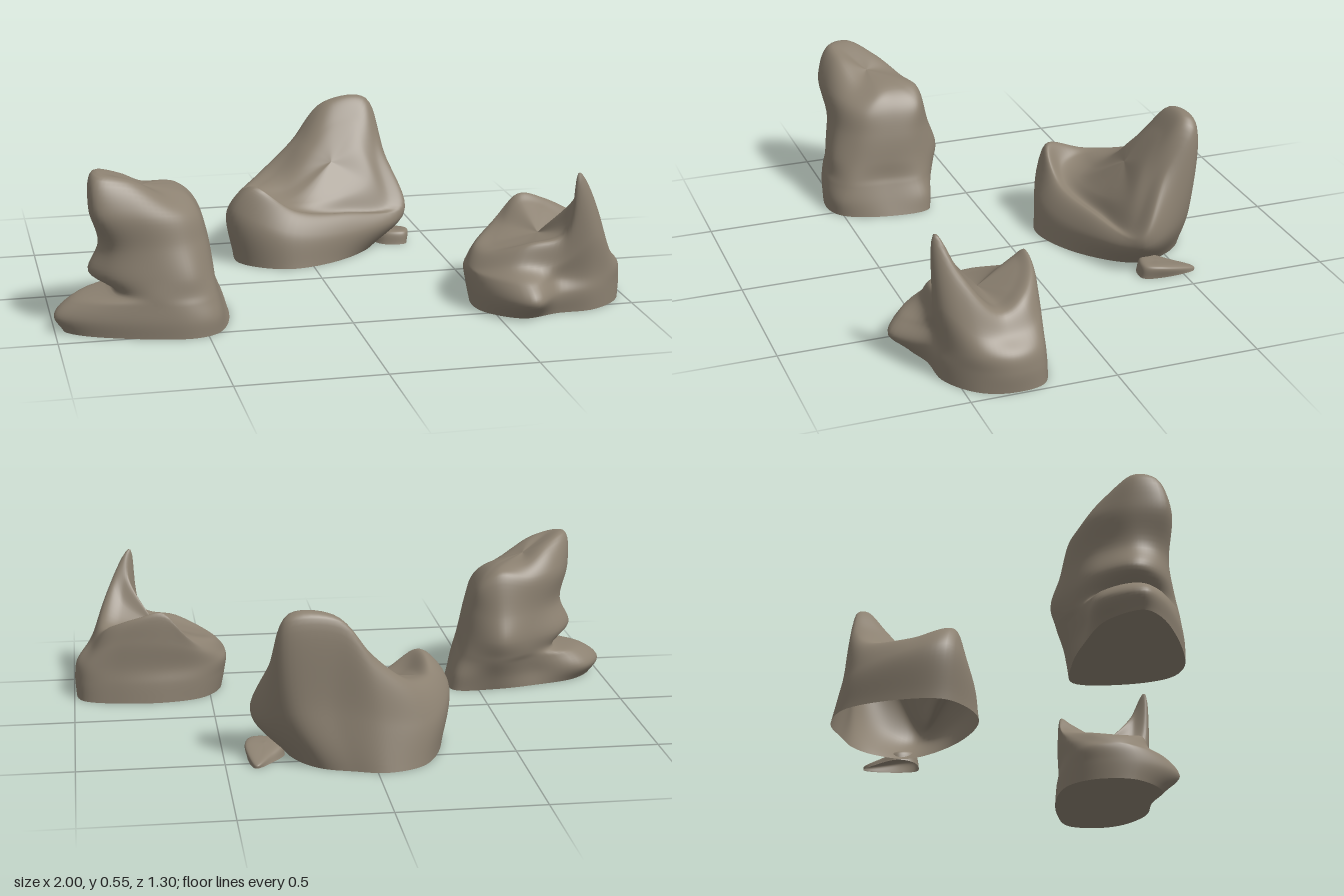
import * as THREE from 'three';

const stone = new THREE.MeshStandardMaterial({ color: 0x8c8171, side: THREE.DoubleSide });
stone.name = 'stone';

const AROUND = 80, UP = 56;
const points = (loop) => loop.map((p) => new THREE.Vector3(...p));
const level = (y, loop) => loop.map(([x, z]) => [x, y, z]);

// Smooth skin through closed loops, listed from the ground up to the rim and in to a centre point
function loft(loops, centre, closedBottom) {
  const rings = loops.map((l) => new THREE.CatmullRomCurve3(points(l), true, 'centripetal'));
  const pos = [], index = [];
  const columns = [];
  for (let j = 0; j < AROUND; j++) {
    const path = rings.map((r) => r.getPoint(j / AROUND));
    path.push(new THREE.Vector3(...centre));
    columns.push(new THREE.CatmullRomCurve3(path, false, 'centripetal'));
  }
  for (let i = 0; i <= UP; i++) {
    for (const c of columns) {
      const p = c.getPoint(i / UP);
      pos.push(p.x, i === 0 ? 0 : Math.max(0, p.y), p.z);
    }
  }
  for (let i = 0; i < UP; i++) {
    for (let j = 0; j < AROUND; j++) {
      const k = (j + 1) % AROUND;
      const a = i * AROUND + j, b = i * AROUND + k;
      const c = a + AROUND, d = b + AROUND;
      index.push(a, b, d);
      if (i < UP - 1) index.push(a, d, c);
    }
  }
  // Flat underside with its own corners, so the ground edge stays sharp
  if (closedBottom) {
    const start = pos.length / 3;
    pos.push(...pos.slice(0, AROUND * 3), centre[0], 0, centre[2]);
    for (let j = 0; j < AROUND; j++) {
      index.push(start + AROUND, start + (j + 1) % AROUND, start + j);
    }
  }
  const g = new THREE.BufferGeometry();
  g.setAttribute('position', new THREE.Float32BufferAttribute(pos, 3));
  g.setIndex(index);
  g.computeVertexNormals();
  return g;
}

function mesh(name, geometry) {
  const m = new THREE.Mesh(geometry, stone);
  m.name = name;
  return m;
}

// Blocky upright rock with a low rounded foot and an overhanging corner
function uprightRock() {
  const base = level(0, [[-.4, .34], [-.41, .18], [-.56, .17], [-.72, .2], [-.89, .26],
    [-.97, .37], [-.92, .43], [-.69, .52], [-.54, .54], [-.46, .5]]);
  const foot = level(.055, [[-.42, .34], [-.42, .18], [-.56, .15], [-.72, .2], [-.92, .235],
    [-1, .37], [-.94, .43], [-.7, .52], [-.54, .54], [-.46, .5]]);
  const ledge = level(.11, [[-.44, .34], [-.44, .19], [-.56, .125], [-.7, .18], [-.88, .25],
    [-.94, .36], [-.89, .43], [-.69, .515], [-.55, .53], [-.465, .48]]);
  const neck = level(.14, [[-.45, .34], [-.45, .19], [-.565, .115], [-.7, .17], [-.79, .24],
    [-.8, .36], [-.78, .45], [-.69, .51], [-.55, .52], [-.47, .47]]);
  const belly = level(.2, [[-.455, .34], [-.46, .2], [-.57, .1], [-.7, .16], [-.82, .24],
    [-.88, .36], [-.82, .45], [-.69, .5], [-.55, .51], [-.48, .45]]);
  const waist = level(.3, [[-.47, .32], [-.475, .2], [-.57, .13], [-.7, .175], [-.79, .25],
    [-.845, .36], [-.81, .45], [-.7, .485], [-.57, .48], [-.495, .42]]);
  const shoulder = [[-.5, .395, .3], [-.5, .395, .19], [-.57, .44, .17], [-.69, .42, .18], [-.8, .43, .24],
    [-.87, .43, .35], [-.86, .43, .47], [-.72, .42, .485], [-.58, .4, .45], [-.51, .385, .39]];
  const top = [[-.55, .45, .28], [-.55, .45, .23], [-.58, .46, .21], [-.68, .465, .22], [-.77, .515, .28],
    [-.855, .55, .36], [-.845, .545, .43], [-.74, .52, .43], [-.61, .45, .39], [-.55, .445, .33]];
  return mesh('uprightRock',
    loft([base, foot, ledge, neck, belly, waist, shoulder, top], [-.69, .485, .33], true));
}

// Rock with a tall back, a sloping front panel and a low front lip, open underneath
function hollowRock() {
  const base = level(0, [[.28, -.38], [.25, -.5], [.18, -.58], [.08, -.62], [-.03, -.65],
    [-.16, -.6], [-.25, -.42], [-.26, -.24], [-.1, -.13], [.12, -.2]]);
  const wall = [[.39, .11, -.35], [.365, .15, -.47], [.28, .2, -.58], [.13, .2, -.59], [-.03, .16, -.615],
    [-.18, .14, -.56], [-.28, .17, -.38], [-.285, .2, -.23], [-.1, .13, -.15], [.15, .1, -.21]];
  const rim = [[.39, .15, -.34], [.335, .35, -.455], [.3, .515, -.58], [.12, .51, -.58], [0, .37, -.575],
    [-.13, .27, -.52], [-.22, .25, -.37], [-.2, .295, -.22], [-.06, .2, -.2], [.15, .165, -.25]];
  const shelf = [[.32, .17, -.335], [.3, .34, -.425], [.28, .535, -.54], [.14, .525, -.54], [.02, .385, -.51],
    [-.08, .28, -.45], [-.17, .245, -.36], [-.15, .225, -.26], [-.05, .19, -.24], [.14, .16, -.28]];
  const panel = [[.25, .25, -.35], [.245, .36, -.41], [.23, .46, -.475], [.14, .45, -.475], [.05, .37, -.44],
    [-.02, .29, -.4], [-.07, .24, -.35], [-.06, .215, -.295], [0, .21, -.285], [.14, .215, -.31]];
  const body = mesh('hollowRockBody', loft([base, wall, rim, shelf, panel], [.12, .33, -.39], false));

  // Thin leaf of stone beside the right-hand foot
  const leafBase = level(0, [[.42, -.42], [.4, -.55], [.34, -.5], [.29, -.42], [.32, -.36], [.4, -.35]]);
  const leafTop = [[.425, .04, -.42], [.395, .01, -.55], [.34, .025, -.48], [.3, .035, -.42], [.33, .045, -.37],
    [.4, .045, -.36]];
  const leaf = mesh('hollowRockLeaf', loft([leafBase, leafTop], [.36, .045, -.42], false));
  const group = new THREE.Group();
  group.name = 'hollowRock';
  group.add(body, leaf);
  return group;
}

// Low dished rock with a bulging foot and a pointed horn at the front
function hornedRock() {
  const base = level(0, [[.99, .36], [.97, .24], [.84, .19], [.66, .18], [.53, .22], [.46, .32],
    [.46, .47], [.58, .58], [.71, .55], [.84, .54], [.95, .46]]);
  const foot = level(.07, [[.995, .355], [.965, .24], [.84, .195], [.66, .185], [.52, .22], [.445, .32],
    [.455, .49], [.6, .65], [.71, .565], [.84, .545], [.95, .46]]);
  const ledge = level(.125, [[.985, .35], [.95, .24], [.83, .2], [.65, .195], [.51, .225], [.44, .31],
    [.45, .47], [.59, .61], [.71, .54], [.84, .54], [.95, .46]]);
  const wall = [[.935, .175, .36], [.91, .19, .25], [.81, .23, .2], [.64, .22, .19], [.52, .18, .22], [.45, .15, .32],
    [.445, .145, .43], [.56, .17, .53], [.72, .18, .54], [.84, .27, .55], [.92, .2, .46]];
  const rim = [[.89, .235, .36], [.86, .27, .27], [.765, .315, .21], [.67, .335, .2], [.59, .25, .21],
    [.48, .195, .32], [.485, .19, .42], [.61, .24, .505], [.735, .27, .525], [.775, .495, .54], [.845, .375, .48]];
  const dish = [[.82, .24, .36], [.8, .265, .3], [.74, .3, .25], [.67, .31, .24], [.6, .245, .27], [.54, .21, .34],
    [.55, .21, .41], [.64, .235, .465], [.74, .27, .48], [.785, .4, .49], [.81, .31, .44]];
  return mesh('hornedRock', loft([base, foot, ledge, wall, rim, dish], [.69, .24, .37], true));
}

export function createModel() {
  const model = new THREE.Group();
  model.name = 'rocks';
  model.add(uprightRock(), hollowRock(), hornedRock());
  return model;
}
